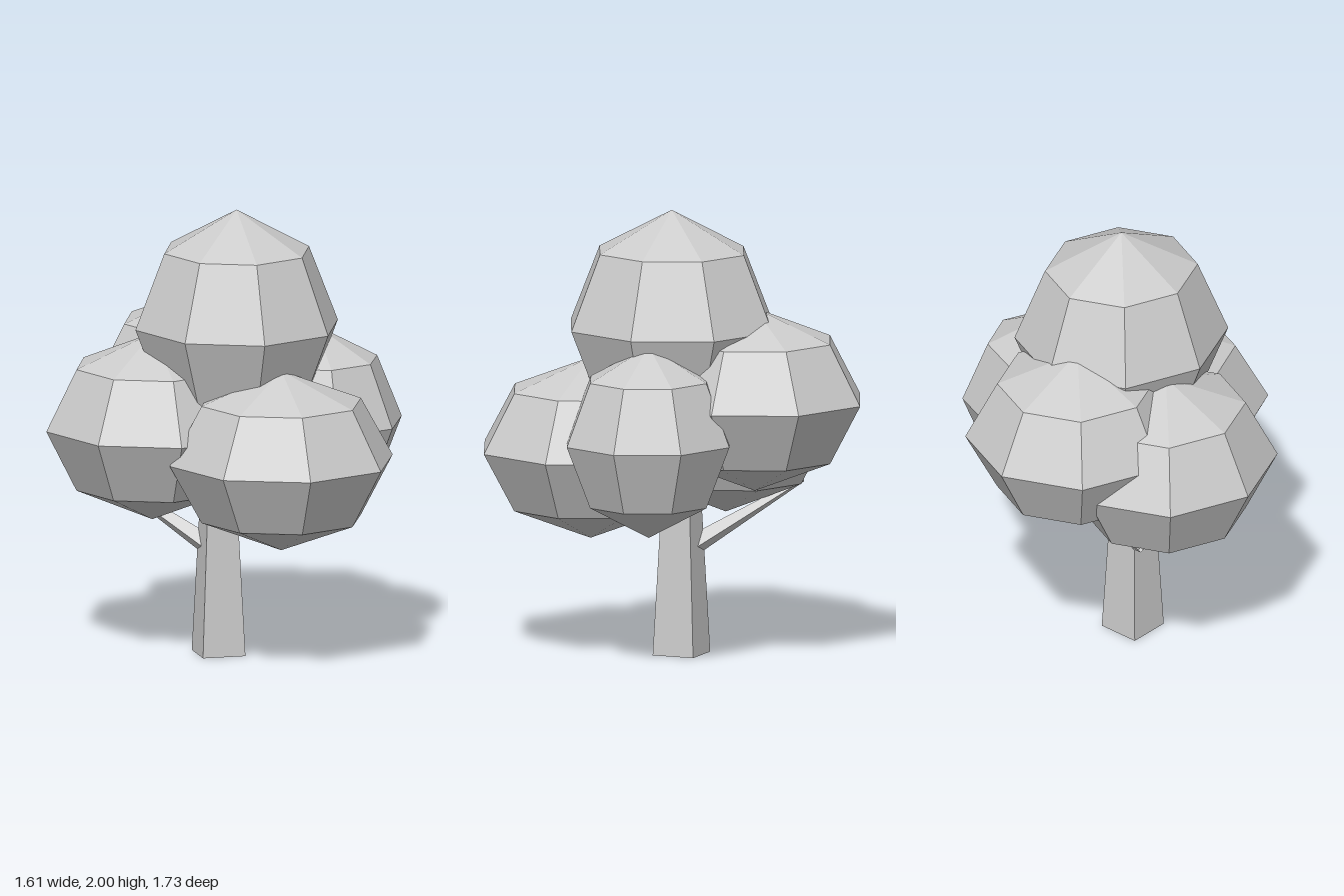
import * as THREE from 'three';

const material = new THREE.MeshStandardMaterial({ color: 0xcccccc, flatShading: true });

function addMesh(group, name, geometry) {
  const mesh = new THREE.Mesh(geometry, material);
  mesh.name = name;
  group.add(mesh);
  return mesh;
}

// Square tapered limb running from one point to another
function limb(from, to, halfStart, halfEnd) {
  const axis = to.clone().sub(from);
  const geometry = new THREE.CylinderGeometry(halfEnd * Math.SQRT2, halfStart * Math.SQRT2, axis.length(), 4);
  geometry.rotateY(Math.PI / 4);
  geometry.applyQuaternion(new THREE.Quaternion().setFromUnitVectors(new THREE.Vector3(0, 1, 0), axis.normalize()));
  const mid = from.clone().add(to).multiplyScalar(0.5);
  return geometry.translate(mid.x, mid.y, mid.z);
}

// Eight-sided faceted ball with two rings beside its equator
function foliage(center, radii) {
  const profile = [[0, -1], [0.715, -0.65], [1, 0], [0.715, 0.65], [0, 1]]
    .map(([r, y]) => new THREE.Vector2(r, y));
  return new THREE.LatheGeometry(profile, 8).scale(...radii).translate(...center);
}

export function createModel() {
  const tree = new THREE.Group();
  tree.name = 'tree';

  // Trunk and side branch
  addMesh(tree, 'trunk', limb(new THREE.Vector3(-0.042, 0, 0), new THREE.Vector3(-0.042, 1.2, 0), 0.097, 0.045));
  addMesh(tree, 'branch', limb(new THREE.Vector3(-0.05, 0.46, -0.01), new THREE.Vector3(-0.45, 0.745, -0.41), 0.036, 0.008));

  // Foliage clusters: name, center, radii
  const clusters = [
    ['topFoliage', [0.037, 1.48, 0.013], [0.463, 0.52, 0.485]],
    ['frontFoliage', [0.15, 0.93, 0.355], [0.51, 0.405, 0.508]],
    ['rightSideFoliage', [-0.32, 1.02, -0.095], [0.485, 0.42, 0.507]],
    ['leftSideFoliage', [0.41, 1.02, -0.035], [0.395, 0.43, 0.388]],
    ['backFoliage', [-0.03, 1.165, -0.357], [0.488, 0.41, 0.507]],
  ];
  for (const [name, center, radii] of clusters) addMesh(tree, name, foliage(center, radii));

  return tree;
}
